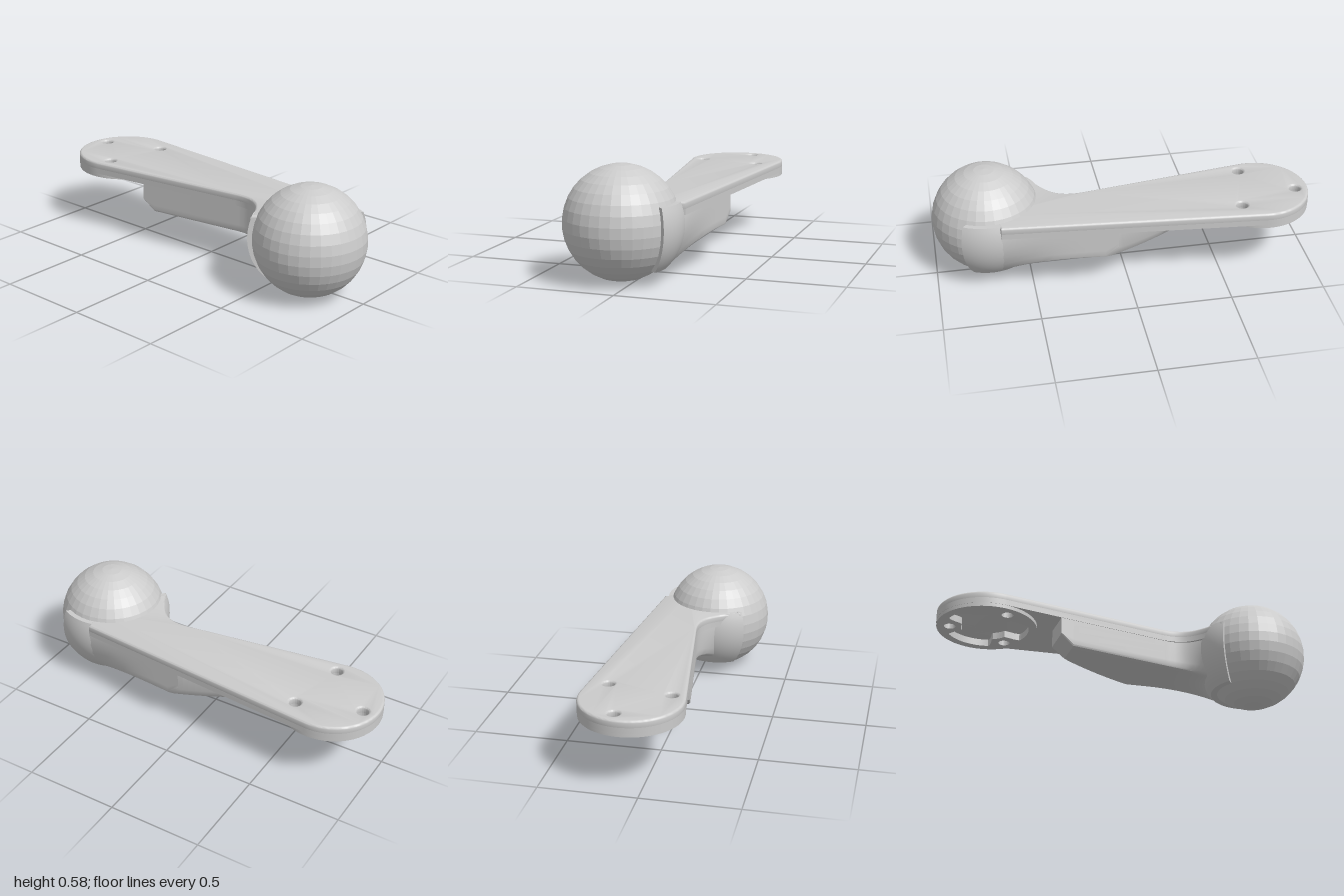
import * as THREE from 'three';
import { toCreasedNormals } from 'three/addons/utils/BufferGeometryUtils.js';

const BALL = new THREE.Vector3(0.712, 0.29, 0.07), BALL_R = 0.289;
const CUP_R = 0.312, CUP_CUT = 0.063, CUP_DIR = Math.atan2(-0.655, -0.756);
const PAD = { x: -0.735, z: -0.092, r: 0.265 };
const HOLES = [[-0.925, -0.13], [-0.605, -0.24], [-0.67, 0.095]];
const lerp = THREE.MathUtils.lerp;

// straight edges of the tapering arm, seen from above
const zFront = x => 0.172 - (x + 0.7) * 0.147;
const zBack = x => -0.357 + (x + 0.71) * 0.086;

function addMesh(group, name, geometry, flat = false) {
  const material = new THREE.MeshStandardMaterial({ color: 0xcccccc, flatShading: flat });
  const mesh = new THREE.Mesh(geometry, material);
  mesh.name = name;
  group.add(mesh);
}

// skin over a grid of rows of points
function skin(rows, closed = false) {
  const n = rows[0].length, pos = [], index = [];
  rows.forEach(row => row.forEach(p => pos.push(p.x, p.y, p.z)));
  for (let i = 0; i < rows.length - 1; i++) {
    for (let j = 0; j < (closed ? n : n - 1); j++) {
      const a = i * n + j, b = i * n + (j + 1) % n;
      index.push(a, b, a + n, b, b + n, a + n);
    }
  }
  const g = new THREE.BufferGeometry();
  g.setAttribute('position', new THREE.Float32BufferAttribute(pos, 3));
  g.setIndex(index);
  return toCreasedNormals(g, 0.55);
}

// extrude a plan shape (x, -z) between two heights
function slab(shape, y0, y1, bevel = 0) {
  const g = new THREE.ExtrudeGeometry(shape, {
    depth: y1 - y0 - 2 * bevel, bevelEnabled: bevel > 0, bevelSize: bevel,
    bevelThickness: bevel, bevelOffset: -bevel, bevelSegments: 3, curveSegments: 28,
  });
  g.translate(0, 0, bevel);
  g.rotateX(-Math.PI / 2);
  g.translate(0, y0, 0);
  return toCreasedNormals(g, 0.55);
}

function drill(shape) {
  for (const [x, z] of HOLES) {
    shape.holes.push(new THREE.Path().absarc(x, -z, 0.03, 0, Math.PI * 2, true));
  }
  return shape;
}

// round end, straight sides, flared front corner at the ball
function armShape() {
  const s = new THREE.Shape();
  s.absarc(PAD.x, -PAD.z, PAD.r, 1.485, Math.PI * 2 - 1.425, false);
  s.lineTo(0.2, -zFront(0.2));
  s.bezierCurveTo(0.33, -0.025, 0.39, -0.07, 0.468, -0.24);
  s.lineTo(0.7, 0.1);
  s.lineTo(0.66, -zBack(0.66));
  return s;
}

// round pocket with three lobes left standing around the screw holes
function pocketPath() {
  const angles = HOLES.map(([x, z]) => Math.atan2(PAD.z - z, x - PAD.x));
  const pts = [];
  for (let i = 0; i < 120; i++) {
    const a = -i / 120 * Math.PI * 2;
    const gap = Math.min(...angles.map(b => Math.abs(Math.atan2(Math.sin(a - b), Math.cos(a - b)))));
    const r = 0.22 - 0.085 * (1 - THREE.MathUtils.smoothstep(gap, 0.27, 0.45));
    pts.push(new THREE.Vector2(PAD.x + r * Math.cos(a), -PAD.z + r * Math.sin(a)));
  }
  return new THREE.Path(pts);
}

// point on a sphere about the ball centre at height y and plan angle a
function onSphere(R, y, a) {
  const rh = Math.sqrt(R * R - (y - BALL.y) ** 2);
  return new THREE.Vector3(BALL.x + rh * Math.cos(a), y, BALL.z + rh * Math.sin(a));
}
// half the plan angle covered by the cup at height y
const cupHalf = (R, y) => Math.acos(CUP_CUT / Math.sqrt(R * R - (y - BALL.y) ** 2));

// thick spherical shell, cut off level at top and bottom
function cupGeometry() {
  const y0 = 0.075, y1 = 0.399, n = 28, m = 16, inner = 0.28;
  const ring = (y, outer) => {
    const pts = [];
    for (const [R, side] of [[outer, 1], [inner, -1]]) {
      const half = cupHalf(R, y);
      for (let j = 0; j <= n; j++) pts.push(onSphere(R, y, CUP_DIR + side * half * (1 - 2 * j / n)));
    }
    return pts;
  };
  const rows = [ring(y0, inner)];
  for (let i = 0; i <= m; i++) rows.push(ring(lerp(y0, y1, i / m), CUP_R));
  rows.push(ring(y1, inner));
  return skin(rows, true);
}

// deep part of the arm: slanted, chamfered end, then a neck flaring onto the cup
function ribGeometry() {
  const top = 0.385, low = 0.185;
  // section points: t runs front to back, h from underside to top
  const section = [[0, 1], [0, 0.8], [0, 0.6], [0, 0.4], [0, 0.2], [0, 0.06], [0.01, 0.02]];
  for (let i = 0; i <= 16; i++) section.push([0.04 + 0.92 * i / 16, 0]);
  section.push([0.99, 0.02], [1, 0.06], [1, 0.2], [1, 0.4], [1, 0.6], [1, 0.8], [1, 1]);

  const endX = t => t < 0.39 ? -0.388 : lerp(-0.388, 0.06, (t - 0.39) / 0.61);
  const armPoint = (x, y, t) =>
    new THREE.Vector3(x, y, lerp(zFront(x) - 0.003, zBack(x) + 0.003, t));
  const rows = [
    section.map(([t]) => armPoint(endX(t), top, t)),
    section.map(([t, h]) => armPoint(endX(t), lerp(0.24, top, h), t)),
    section.map(([t, h]) => armPoint(endX(t) + 0.07, lerp(low, top, h), t)),
  ];

  // neck: each section point sweeps along a curve onto the cup
  const curves = section.map(([t, h]) => {
    const start = armPoint(0.22, lerp(low, top, h), t);
    const y = lerp(0.08, top, h);
    const front = CUP_DIR - cupHalf(CUP_R, y) + 0.02, back = -1.68;
    const end = onSphere(CUP_R - 0.004, y, lerp(front, back, t));
    const bend = armPoint(lerp(0.41, 0.5, t), start.y, t);
    return new THREE.QuadraticBezierCurve3(start, bend, end);
  });
  for (let i = 0; i <= 12; i++) rows.push(curves.map(c => c.getPoint(i / 12)));
  return skin(rows);
}

export function createModel() {
  const group = new THREE.Group();

  const ball = new THREE.SphereGeometry(BALL_R, 34, 17);
  ball.translate(BALL.x, BALL.y, BALL.z);
  addMesh(group, 'ball', ball, true);
  addMesh(group, 'ballCup', cupGeometry());
  addMesh(group, 'armRib', ribGeometry());

  // upper skin of the arm with rounded rim and countersunk holes
  addMesh(group, 'armTop', slab(drill(armShape()), 0.352, 0.4, 0.012));

  // underside layer and mounting pad share the lobed pocket
  const under = drill(armShape());
  under.holes.push(pocketPath());
  addMesh(group, 'armUnderside', slab(under, 0.334, 0.364));

  const pad = drill(new THREE.Shape().absarc(PAD.x, -PAD.z, PAD.r - 0.001, 0, Math.PI * 2, false));
  pad.holes.push(pocketPath());
  addMesh(group, 'mountingPad', slab(pad, 0.315, 0.335));

  return group;
}
